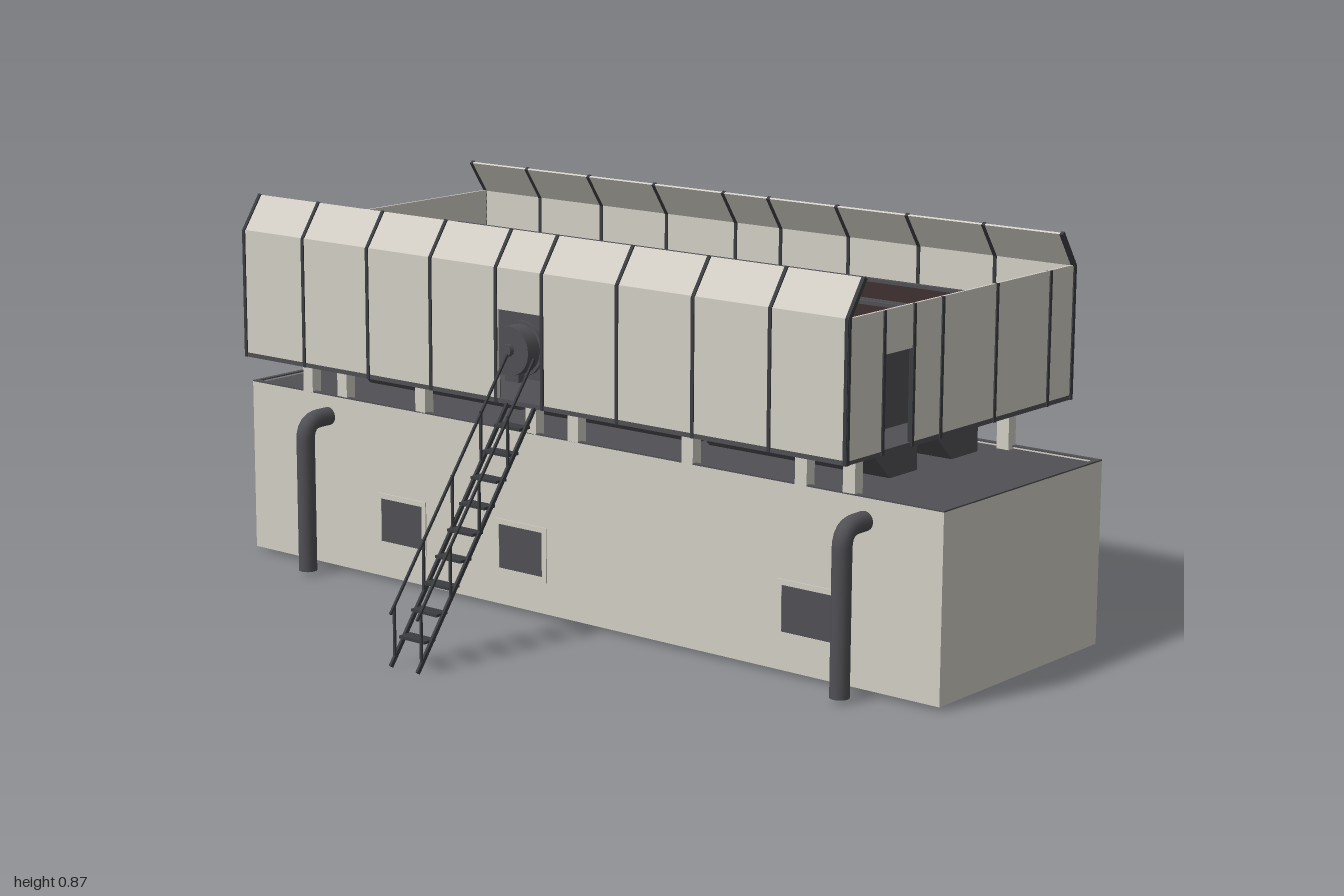
import * as THREE from 'three';

export function createModel() {
  const root = new THREE.Group();
  const mat = (name, color) => Object.assign(new THREE.MeshStandardMaterial({ color }), { name });
  const pale = mat('pale cladding', 0xd2cec5);
  const dark = mat('dark steel', 0x505055);
  const post = mat('post steel', 0x3b3c41);
  const brown = mat('brown mesh', 0x372b2a);
  const black = mat('black cable', 0x27272b);

  const add = (name, geo, m) => {
    const mesh = new THREE.Mesh(geo, m);
    mesh.name = name;
    root.add(mesh);
    return mesh;
  };
  // Box given by its limits on each axis
  const box = (name, m, x0, x1, y0, y1, z0, z1) => {
    const b = add(name, new THREE.BoxGeometry(x1 - x0, y1 - y0, z1 - z0), m);
    b.position.set((x0 + x1) / 2, (y0 + y1) / 2, (z0 + z1) / 2);
  };
  // Straight bar between two points
  const bar = (name, m, a, b, w, d = w) => {
    const A = new THREE.Vector3(...a), B = new THREE.Vector3(...b);
    const mesh = add(name, new THREE.BoxGeometry(w, A.distanceTo(B), d), m);
    mesh.position.copy(A).add(B).multiplyScalar(0.5);
    mesh.quaternion.setFromUnitVectors(new THREE.Vector3(0, 1, 0), B.sub(A).normalize());
  };
  const tube = (name, m, curve, seg, r, sides) => add(name, new THREE.TubeGeometry(curve, seg, r, sides), m);
  const drum = (name, m, x0, x1, y, z, r, sides) => {
    const c = add(name, new THREE.CylinderGeometry(r, r, x1 - x0, sides), m);
    c.rotation.z = Math.PI / 2;
    c.position.set((x0 + x1) / 2, y, z);
  };

  // Hollow container, open underneath
  const L = -0.103, R = 0.482, F = 1.0, B = -0.948, t = 0.006, wallTop = 0.408;
  box('leftWall', pale, R - t, R, 0.009, wallTop, B, F);
  box('rightWall', pale, L, L + t, 0.009, wallTop, B, F);
  box('frontWall', pale, L + t, R - t, 0.009, wallTop, F - t, F);
  box('backWall', pale, L + t, R - t, 0.009, wallTop, B, B + t);
  box('roof', dark, L + t, R - t, 0.396, 0.403, B + t, F - t);
  // Dark rim around the roof
  for (const x of [L, R - 0.012]) box('roofRim', dark, x, x + 0.012, wallTop, 0.411, B, F);
  for (const z of [B, F - 0.012]) box('roofRim', dark, L + 0.012, R - 0.012, wallTop, 0.411, z, z + 0.012);

  // Windows and doors, seen from both sides of the wall
  const windowAt = (x, z) => {
    box('windowPane', dark, x - 0.0045, x + 0.0045, 0.088, 0.192, z - 0.064, z + 0.064);
    for (const s of [-1, 1]) {
      box('windowJamb', pale, x - 0.006, x + 0.006, 0.08, 0.204, z + s * 0.069 - 0.006, z + s * 0.069 + 0.006);
      const y = 0.142 + s * 0.056;
      box('windowRail', pale, x - 0.006, x + 0.006, y - 0.006, y + 0.006, z - 0.063, z + 0.063);
    }
  };
  for (const z of [0.39, 0, -0.44]) windowAt(R - t / 2, z);
  for (const z of [0.67, -0.11, -0.47]) windowAt(L + t / 2, z);
  for (const z of [0.795, -0.812]) box('door', dark, R - t - 0.002, R + 0.002, 0.012, 0.205, z - 0.048, z + 0.048);

  // Cable run with end boxes and clips
  for (let i = 0; i < 5; i++) {
    const pts = [];
    for (let k = 0; k <= 24; k++) {
      const y = 0.287 + i * 0.0145 + 0.003 * Math.sin(k * 0.8 + i * 0.5);
      pts.push(new THREE.Vector3(R + 0.007, y, 0.92 - k * 0.077));
    }
    tube('cable', black, new THREE.CatmullRomCurve3(pts), 72, 0.0035, 5);
  }
  for (const z of [0.62, 0, -0.745]) box('cableClip', post, R, R + 0.012, 0.275, 0.35, z - 0.003, z + 0.003);
  box('frontCableBox', pale, R, R + 0.025, 0.275, 0.35, 0.918, 0.965);
  box('backCableBox', pale, 0.45, 0.496, 0.275, 0.35, -0.975, B);

  // Cabinets on the back wall
  for (const x of [0.214, 0.306]) box('cabinet', pale, x, x + 0.08, 0.003, 0.177, -1, B);

  // Bent pipes passing through the right wall
  for (const z of [0.81, -0.7]) {
    const path = new THREE.CurvePath();
    const v = (x, y) => new THREE.Vector3(x, y, z);
    path.add(new THREE.LineCurve3(v(0.2, 0.36), v(-0.135, 0.36)));
    path.add(new THREE.QuadraticBezierCurve3(v(-0.135, 0.36), v(-0.178, 0.36), v(-0.178, 0.317)));
    path.add(new THREE.LineCurve3(v(-0.178, 0.317), v(-0.178, 0.01)));
    tube('pipe', dark, path, 60, 0.021, 16);
    for (const [x, y, turn] of [[0.2, 0.36, Math.PI / 2], [-0.178, 0.01, 0]]) {
      const cap = add('pipeEnd', new THREE.CylinderGeometry(0.021, 0.021, 0.002, 16), dark);
      cap.position.set(x, y, z);
      cap.rotation.z = turn;
    }
  }

  // Legs between the container and the deck
  for (const z of [0.77, 0.65, 0.355, 0.04, -0.08, -0.41, -0.655, -0.765])
    for (const x of [L, R - 0.027]) box('deckLeg', pale, x, x + 0.027, 0.403, 0.5, z - 0.015, z + 0.015);

  // Slanted ducts below the deck
  const ductShape = new THREE.Shape(
    [[0, 0.502], [0.197, 0.502], [0.197, 0.403], [0.1, 0.403]].map(p => new THREE.Vector2(...p)));
  const ductGeo = new THREE.ExtrudeGeometry(ductShape, { depth: 0.472, bevelEnabled: false });
  for (const x of [-0.018, 0.207])
    for (const z of [-0.745, -0.238, 0.268]) add('duct', ductGeo, dark).position.set(x, 0, z);

  // Deck and its screen walls
  const X0 = -0.225, X1 = 0.597, Z0 = -0.84, Z1 = 0.849, top = 0.793;
  box('deck', dark, X0, X1, 0.5, 0.51, Z0, Z1);
  box('backScreen', pale, X0, X1, 0.508, top, Z0, Z0 + t);
  box('frontScreen', pale, X0, L, 0.508, top, Z1 - t, Z1);
  box('frontScreen', pale, 0, X1, 0.508, top, Z1 - t, Z1);
  box('frontLintel', pale, L, 0, 0.703, top, Z1 - t, Z1);
  box('leftScreen', pale, X1 - t, X1, 0.508, top, Z0, Z1);
  box('rightScreen', pale, X0, X0 + t, 0.508, top, Z0, -0.065);
  box('rightScreen', pale, X0, X0 + t, 0.508, top, 0.065, Z1);
  box('rightLintel', pale, X0, X0 + t, 0.703, top, -0.065, 0.065);
  for (const x of [X0 + 0.004, L, 0, 0.1, 0.297, 0.5, X1 - 0.004])
    box('frontPost', post, x - 0.004, x + 0.004, 0.5, top, Z1 - 0.008, Z1 + 0.003);

  // Flared tops and bent posts along both sides
  const postZ = [0.65, 0.45, 0.26, 0.07, -0.06, -0.265, -0.465, -0.66];
  for (const s of [-1, 1]) {
    const x = 0.186 + s * 0.408, xi = x - s * 0.052, mid = (Z0 + Z1) / 2;
    bar('flaredTop', pale, [x, top - 0.002, mid], [xi, 0.866, mid], 0.005, Z1 - Z0);
    for (const z of [Z1 - 0.002, ...postZ.map(p => s * p), Z0 + 0.002]) {
      bar('sidePost', post, [x, 0.5, z], [x, top, z], 0.011, 0.008);
      bar('flaredPost', post, [x, top - 0.002, z], [xi, 0.867, z], 0.01, 0.008);
    }
  }

  // Cooler block with framed mesh panels
  box('coolerBody', dark, -0.036, 0.402, 0.51, 0.734, -0.75, 0.74);
  for (const z of [-0.505, -0.005, 0.49])
    for (const x of [0.07, 0.298]) box('meshPanel', brown, x - 0.096, x + 0.094, 0.732, 0.739, z - 0.231, z + 0.229);
  for (const x of [-0.034, 0.175, 0.194, 0.4]) box('longFrame', dark, x - 0.006, x + 0.006, 0.727, 0.746, -0.757, 0.745);
  for (const z of [-0.75, -0.265, -0.245, 0.235, 0.255, 0.738])
    box('crossFrame', dark, -0.04, 0.406, 0.727, 0.745, z - 0.006, z + 0.006);

  // Fans on the right and motors on the left of the cooler
  for (const c of [-0.505, -0.005, 0.495])
    for (const d of [-0.15, 0, 0.15]) {
      const z = c + d;
      drum('fanDrum', dark, -0.088, -0.035, 0.58, z, 0.055, 20);
      drum('fanRim', dark, -0.05, -0.042, 0.58, z, 0.062, 20);
      drum('fanHub', dark, -0.1, -0.088, 0.582, z, 0.014, 10);
      box('fanFoot', dark, -0.08, -0.06, 0.51, 0.55, z - 0.02, z + 0.02);
      drum('motorCollar', dark, 0.4, 0.425, 0.58, z, 0.035, 16);
      drum('motorBody', dark, 0.42, 0.464, 0.58, z, 0.042, 8);
      drum('motorHub', dark, 0.464, 0.49, 0.58, z, 0.016, 10);
    }

  // Stair with treads and handrails
  for (const z of [-0.038, 0.038]) {
    bar('stringer', post, [-0.592, 0.003, z], [-0.225, 0.502, z], 0.009, 0.006);
    bar('handrail', post, [-0.592, 0.115, z], [-0.225, 0.608, z], 0.005);
    for (let i = 0; i < 4; i++) {
      const x = -0.58 + i * 0.09, y = 0.02 + i * 0.122;
      bar('railPost', post, [x, y, z], [x, y + 0.113, z], 0.005);
    }
  }
  for (let i = 0; i < 9; i++) {
    const x = -0.552 + i * 0.0373, y = 0.062 + i * 0.05;
    box('tread', post, x - 0.017, x + 0.017, y - 0.003, y + 0.003, -0.036, 0.036);
  }
  return root;
}
